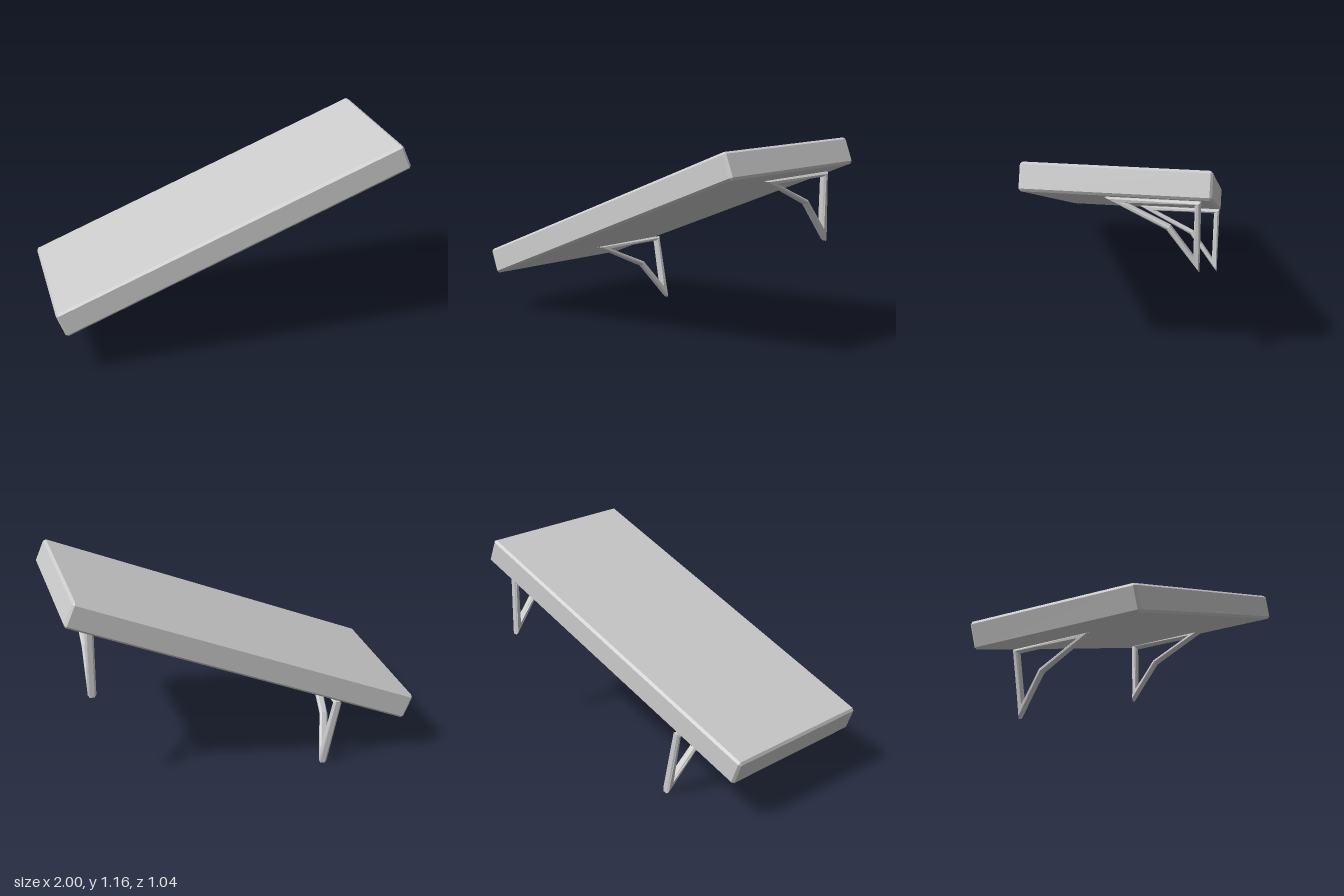
import * as THREE from 'three';
import { ConvexGeometry } from 'three/addons/geometries/ConvexGeometry.js';

// Box with every edge chamfered by c
function chamferedBox(w, h, d, c) {
  const points = [];
  for (const sx of [-0.5, 0.5]) for (const sy of [-0.5, 0.5]) for (const sz of [-0.5, 0.5]) {
    for (let axis = 0; axis < 3; axis++) {
      const p = [w, h, d].map((s, i) => s - (i === axis ? 0 : 2 * c));
      points.push(new THREE.Vector3(sx * p[0], sy * p[1], sz * p[2]));
    }
  }
  return new ConvexGeometry(points);
}

// Open bent-triangle frame in the z-y plane, hanging down from y = 0
function bracketGeometry() {
  const toPoints = (list) => list.map(([z, y]) => new THREE.Vector2(z, y));
  const thickness = 0.046, bevel = 0.01;
  const shape = new THREE.Shape(toPoints([
    [0.03, 0], [-0.457, 0], [-0.455, -0.385], [-0.285, -0.16],
  ]));
  shape.holes.push(new THREE.Path(toPoints([
    [-0.06, -0.023], [-0.303, -0.138], [-0.424, -0.3], [-0.426, -0.023],
  ])));
  const geometry = new THREE.ExtrudeGeometry(shape, {
    depth: thickness - 2 * bevel,
    bevelEnabled: true, bevelThickness: bevel, bevelSize: bevel,
    bevelOffset: -bevel, bevelSegments: 1,
  });
  geometry.translate(0, 0, bevel - thickness / 2);
  geometry.rotateY(-Math.PI / 2);
  return geometry;
}

export function createModel() {
  const group = new THREE.Group();
  group.name = 'tiltedShelf';
  const material = new THREE.MeshStandardMaterial({ color: 0xcccccc, flatShading: true });

  // Board, tilted along its length and slightly turned
  const board = new THREE.Mesh(chamferedBox(2.08, 0.148, 0.96, 0.013), material);
  board.name = 'board';
  const along = new THREE.Vector3(1.94, 0.81, -0.084).normalize();
  const up = new THREE.Vector3().crossVectors(new THREE.Vector3(0.035, 0.016, 0.955), along).normalize();
  const across = new THREE.Vector3().crossVectors(along, up);
  board.quaternion.setFromRotationMatrix(new THREE.Matrix4().makeBasis(along, up, across));
  board.position.y = 0.698;
  group.add(board);

  // Two brackets near the back edge, the lower one leaning
  const geometry = bracketGeometry();
  for (const [name, x, y, lean] of [
    ['upperBracket', 0.83, 0.965, 0],
    ['lowerBracket', -0.547, 0.386, 0.215],
  ]) {
    const bracket = new THREE.Mesh(geometry, material);
    bracket.name = name;
    bracket.position.set(x, y, 0);
    bracket.rotation.z = lean;
    group.add(bracket);
  }
  return group;
}
